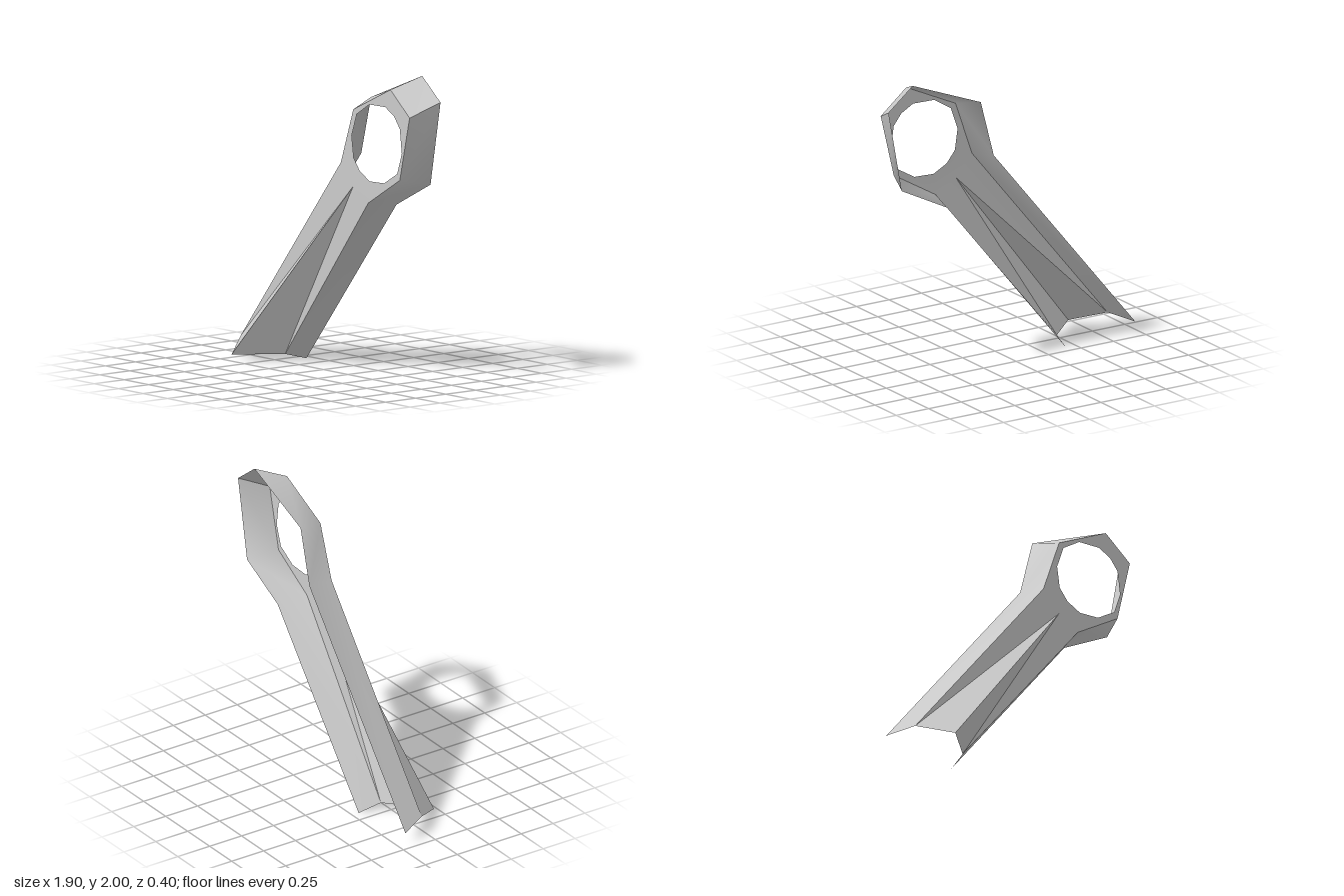
import * as THREE from 'three';

// Front rim [x, y, z] and the wider back rim [x, y], listed clockwise from the lower left end
const FRONT = [
  [-0.86, 0.113, -0.01], [0.177, 1.38, 0], [0.304, 1.743, 0], [0.684, 1.92, 0],
  [0.88, 1.76, 0], [0.78, 1.34, 0], [0.457, 1.15, 0], [-0.447, 0.043, -0.045],
];
const BACK = [
  [-0.95, 0.087], [0.14, 1.415], [0.24, 1.795], [0.763, 2.0],
  [0.95, 1.85], [0.848, 1.3], [0.5, 1.125], [-0.42, 0.003],
];
const HOLE = [
  [0.288, 1.57], [0.34, 1.717], [0.468, 1.796], [0.631, 1.8], [0.721, 1.75], [0.78, 1.675],
  [0.8, 1.516], [0.753, 1.378], [0.62, 1.3], [0.473, 1.294], [0.372, 1.347], [0.309, 1.426],
];
const APEX = [0.303, 1.24, 0];
const TIP = [-0.695, 0.033, 0.2];
const BACK_Z = -0.2;

const material = new THREE.MeshStandardMaterial({ color: 0xcccccc, side: THREE.DoubleSide });

function addMesh(group, name, geometry) {
  const mesh = new THREE.Mesh(geometry, material);
  mesh.name = name;
  group.add(mesh);
}

function surface(points, index) {
  const geometry = new THREE.BufferGeometry();
  geometry.setAttribute('position', new THREE.Float32BufferAttribute(points.flat(), 3));
  if (index) geometry.setIndex(index);
  geometry.computeVertexNormals();
  return geometry;
}

// Front plate, pierced by the ring hole and notched where the ridge rises
function plateGeometry() {
  const toVector = ([x, y]) => new THREE.Vector2(x, y);
  const shape = new THREE.Shape([...FRONT, APEX].map(toVector));
  shape.holes.push(new THREE.Path(HOLE.map(toVector)));
  const geometry = new THREE.ShapeGeometry(shape);
  const position = geometry.attributes.position;
  // The two lower corners sit slightly behind the plate
  for (let i = 0; i < position.count; i++) {
    if (position.getY(i) < 0.2) position.setZ(i, position.getX(i) < -0.6 ? FRONT[0][2] : FRONT[7][2]);
  }
  geometry.computeVertexNormals();
  return geometry;
}

// Flared wall between the two rims, smooth along one run of corners
function wallGeometry(from, to) {
  const points = [], index = [];
  for (let i = from; i <= to; i++) {
    points.push(FRONT[i], [...BACK[i], BACK_Z]);
    if (i < to) {
      const a = (i - from) * 2;
      index.push(a, a + 2, a + 1, a + 1, a + 2, a + 3);
    }
  }
  return surface(points, index);
}

export function createModel() {
  const group = new THREE.Group();
  group.name = 'ringEndedArm';

  addMesh(group, 'frontPlate', plateGeometry());

  addMesh(group, 'leftWall', wallGeometry(0, 3));
  addMesh(group, 'topCornerWall', wallGeometry(3, 4));
  addMesh(group, 'rightWall', wallGeometry(4, 7));

  // Tapering ridge, open at its lower end
  addMesh(group, 'ridge', surface([FRONT[0], TIP, APEX, TIP, FRONT[7], APEX]));

  return group;
}
